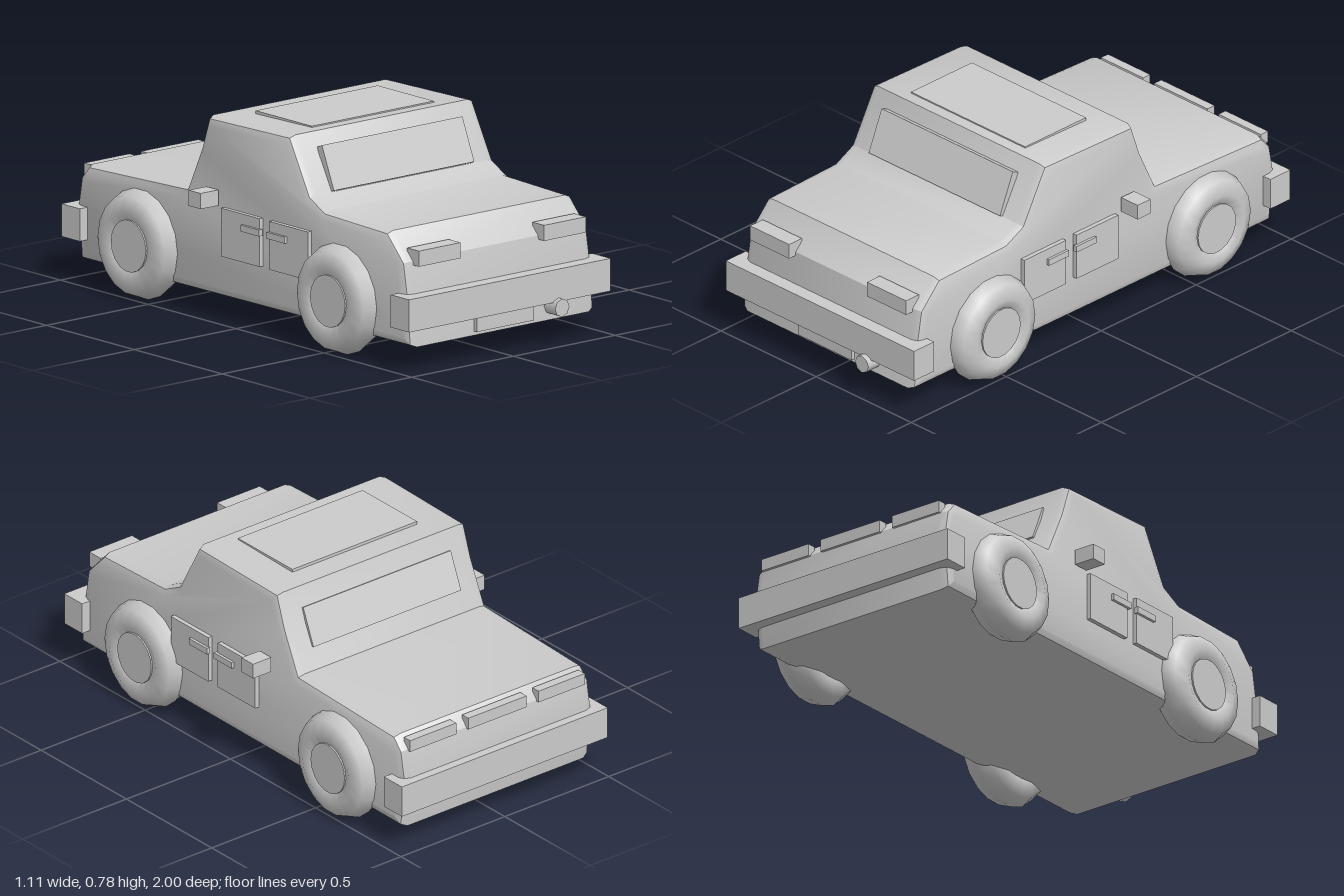
import * as THREE from 'three';
import { toCreasedNormals } from 'three/addons/utils/BufferGeometryUtils.js';

const material = new THREE.MeshStandardMaterial({ color: 0xcccccc });

export function createModel() {
  const model = new THREE.Group();

  const add = (name, geometry, x = 0, y = 0, z = 0, tilt = 0) => {
    const mesh = new THREE.Mesh(geometry, material);
    mesh.name = name;
    mesh.position.set(x, y, z);
    mesh.rotation.x = tilt;
    model.add(mesh);
    return mesh;
  };
  // Box given by its extents on each axis
  const box = (name, x0, x1, y0, y1, z0, z1) =>
    add(name, new THREE.BoxGeometry(x1 - x0, y1 - y0, z1 - z0),
      (x0 + x1) / 2, (y0 + y1) / 2, (z0 + z1) / 2);

  // Body: side profile (z, y) extruded across the width with bevelled edges
  const profile = [
    [0.94, 0.1], [0.93, 0.26], [0.902, 0.42], [0.805, 0.522], [0.45, 0.532],
    [0.365, 0.575], [0.25, 0.785], [-0.217, 0.775], [-0.262, 0.645], [-0.34, 0.48],
    [-0.9, 0.46], [-0.945, 0.41], [-0.965, 0.3], [-0.945, 0.09],
  ];
  const bevel = 0.035, width = 0.915;
  const body = new THREE.ExtrudeGeometry(
    new THREE.Shape(profile.map(([z, y]) => new THREE.Vector2(z, y))), {
      depth: width - 2 * bevel, bevelThickness: bevel, bevelSize: bevel,
      bevelOffset: -bevel, bevelSegments: 2,
    });
  body.translate(0, 0, bevel - width / 2).rotateY(-Math.PI / 2);
  add('body', toCreasedNormals(body, 0.45));

  // Windows and sunroof
  add('windshield', new THREE.BoxGeometry(0.69, 0.175, 0.03), 0, 0.657, 0.33, -0.4);
  add('rearWindow', new THREE.BoxGeometry(0.71, 0.155, 0.03), 0, 0.624, -0.267, 0.4);
  box('sunroof', -0.3, 0.3, 0.76, 0.789, -0.12, 0.2);

  // Bumpers, front plate and pipe
  box('frontBumper', -0.495, 0.495, 0.175, 0.3, 0.875, 0.98);
  box('rearBumper', -0.495, 0.495, 0.175, 0.3, -1, -0.895);
  box('frontPlate', -0.14, 0.14, 0.115, 0.2, 0.92, 0.955);
  add('pipe', new THREE.CylinderGeometry(0.035, 0.035, 0.1, 8), 0.24, 0.155, 0.95, Math.PI / 2);
  box('rearCenterLight', -0.14, 0.14, 0.405, 0.452, -0.957, -0.92);

  // Parts repeated on both sides
  const tire = new THREE.TorusGeometry(0.137, 0.075, 8, 18).rotateY(Math.PI / 2);
  const hub = new THREE.CylinderGeometry(0.1, 0.1, 0.132, 18).rotateZ(Math.PI / 2);
  for (const [side, s] of [['left', 1], ['right', -1]]) {
    const sideBox = (name, x0, x1, ...rest) =>
      box(side + name, Math.min(s * x0, s * x1), Math.max(s * x0, s * x1), ...rest);

    sideBox('Headlight', 0.205, 0.41, 0.405, 0.465, 0.87, 0.937);
    sideBox('RearLight', 0.198, 0.42, 0.405, 0.452, -0.957, -0.92);
    sideBox('Mirror', 0.47, 0.557, 0.45, 0.51, -0.203, -0.135);

    // Two doors with handles
    sideBox('FrontDoor', 0.45, 0.475, 0.26, 0.445, 0.16, 0.38);
    sideBox('FrontHandle', 0.47, 0.486, 0.38, 0.405, 0.155, 0.26);
    sideBox('RearDoor', 0.45, 0.475, 0.26, 0.445, -0.115, 0.105);
    sideBox('RearHandle', 0.47, 0.486, 0.38, 0.405, 0.01, 0.115);

    // Wheels
    for (const [end, z] of [['Front', 0.542], ['Rear', -0.592]]) {
      add(side + end + 'Tire', tire, s * 0.452, 0.217, z);
      add(side + end + 'Hub', hub, s * 0.452, 0.217, z);
    }
  }
  return model;
}
